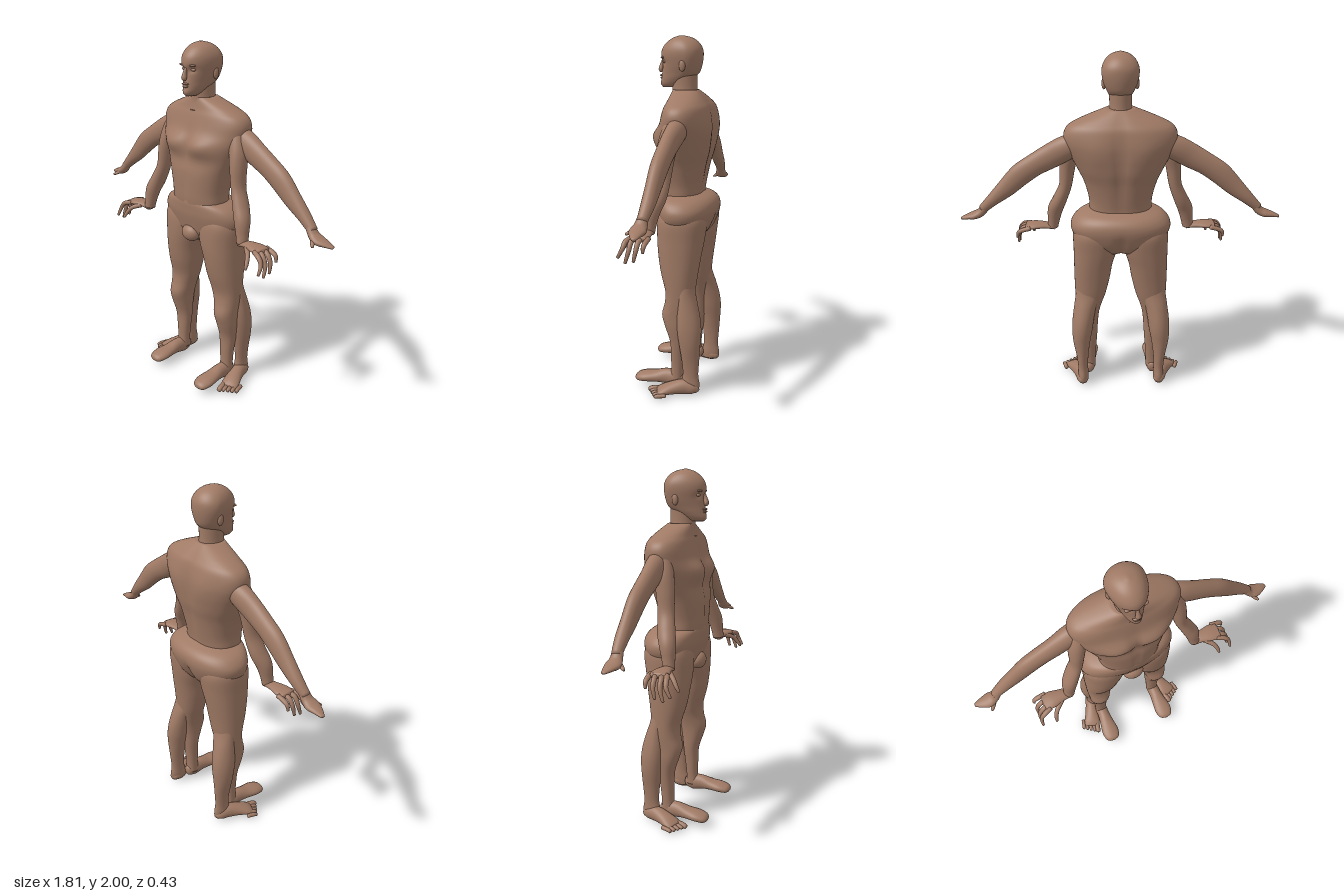
import * as THREE from 'three';

const skin = new THREE.MeshStandardMaterial({ color: 0xa07a65 });
skin.name = 'skin';
const V = (x, y, z) => new THREE.Vector3(x, y, z);
const SEG = 32;

// Catmull-Rom resampling of rows of numbers
function resample(rows, steps = 5) {
  const out = [], n = rows.length;
  for (let i = 0; i < n - 1; i++) {
    const p = [rows[Math.max(i - 1, 0)], rows[i], rows[i + 1], rows[Math.min(i + 2, n - 1)]];
    for (let k = 0; k < steps; k++) {
      const t = k / steps;
      out.push(rows[i].map((_, c) => {
        const [a, b, d, e] = p.map((r) => r[c]);
        return 0.5 * (2 * b + (d - a) * t + (2 * a - 5 * b + 4 * d - e) * t * t + (3 * b - a - 3 * d + e) * t * t * t);
      }));
    }
  }
  out.push(rows[n - 1]);
  return out;
}

// Closed surface through rings of points, with a point at each end
function loft(rings, first, last) {
  const pos = [], idx = [], m = rings[0].length, n = rings.length;
  rings.forEach((r) => r.forEach((p) => pos.push(p.x, p.y, p.z)));
  pos.push(first.x, first.y, first.z, last.x, last.y, last.z);
  for (let j = 0; j < m; j++) {
    const k = (j + 1) % m, top = (n - 1) * m;
    for (let i = 0; i < n - 1; i++) {
      const a = i * m + j, b = i * m + k;
      idx.push(a, b, b + m, a, b + m, a + m);
    }
    idx.push(n * m, k, j, n * m + 1, top + j, top + k);
  }
  const g = new THREE.BufferGeometry();
  g.setAttribute('position', new THREE.Float32BufferAttribute(pos, 3));
  g.setIndex(idx);
  g.computeVertexNormals();
  return g;
}

// Upright form from rows [y, xMin, xMax, zFront, zBack, zWidest], bottom to top
function body(rows, exponent = 2, shape = () => {}) {
  const pw = (v) => Math.sign(v) * Math.abs(v) ** (2 / exponent);
  const all = resample(rows);
  const rings = all.map(([y, x0, x1, zf, zb, zm]) => Array.from({ length: SEG * 2 }, (_, j) => {
    const a = (j / (SEG * 2)) * Math.PI * 2, c = pw(Math.cos(a)), s = pw(Math.sin(a));
    const p = V((x0 + x1) / 2 + s * (x1 - x0) / 2, y, zm + c * (c > 0 ? zf - zm : zm - zb));
    shape(p, Math.cos(a));
    return p;
  }));
  const mid = (r) => V((r[1] + r[2]) / 2, r[0], r[5]);
  return loft(rings, mid(all[0]), mid(all[all.length - 1]));
}

// Limb along rows [x, y, z, a, b]; b is the radius along ref, a the one across it
function limb(rows, ref = V(0, 0, 1), seg = SEG) {
  const all = resample(rows), pts = all.map((r) => V(r[0], r[1], r[2])), n = pts.length;
  const dir = (i) => pts[Math.min(i + 1, n - 1)].clone().sub(pts[Math.max(i - 1, 0)]).normalize();
  const rings = all.map((r, i) => {
    const t = dir(i), v = ref.clone().addScaledVector(t, -ref.dot(t)).normalize(), u = v.clone().cross(t);
    return Array.from({ length: seg }, (_, j) => {
      const a = (j / seg) * Math.PI * 2;
      return pts[i].clone().addScaledVector(u, Math.cos(a) * r[3]).addScaledVector(v, Math.sin(a) * r[4]);
    });
  });
  const end = (i, s) => pts[i].clone().addScaledVector(dir(i), s * 0.5 * Math.min(all[i][3], all[i][4]));
  return loft(rings, end(0, -1), end(n - 1, 1));
}

const blob = (x, y, z, rx, ry, rz) => new THREE.SphereGeometry(1, 24, 16).scale(rx, ry, rz).translate(x, y, z);

function mirrored(g) {
  const m = g.clone().scale(-1, 1, 1), a = m.index.array;
  for (let i = 0; i < a.length; i += 3) [a[i], a[i + 1]] = [a[i + 1], a[i]];
  m.computeVertexNormals();
  return m;
}

const bump = (dx, dy, rx, ry) => Math.exp(-((dx / rx) ** 2) - (dy / ry) ** 2);

export function createModel() {
  const model = new THREE.Group();
  const add = (name, g) => {
    const mesh = new THREE.Mesh(g, skin);
    mesh.name = name;
    model.add(mesh);
  };
  const pair = (name, g) => { add(name + 'Left', g); add(name + 'Right', mirrored(g)); };
  const sym = (rows) => rows.map(([y, w, zf, zb, zm]) => [y, -w, w, zf, zb, zm]);

  // Torso with chest muscles, belly line, shoulder blades and spine
  add('torso', body(sym([
    [1.04, 0.17, 0.1, -0.13, 0], [1.13, 0.177, 0.115, -0.13, 0], [1.2, 0.18, 0.12, -0.14, 0],
    [1.3, 0.205, 0.122, -0.16, -0.01], [1.37, 0.235, 0.112, -0.178, -0.02], [1.43, 0.262, 0.112, -0.185, -0.03],
    [1.48, 0.285, 0.105, -0.188, -0.04], [1.53, 0.302, 0.09, -0.188, -0.05], [1.58, 0.306, 0.077, -0.182, -0.05],
    [1.62, 0.285, 0.066, -0.172, -0.05], [1.65, 0.235, 0.056, -0.152, -0.05], [1.68, 0.16, 0.05, -0.128, -0.04],
    [1.71, 0.075, 0.045, -0.1, -0.03]]), 2.3, (p, c) => {
    const x = Math.abs(p.x);
    if (c > 0) {
      p.z += c * (0.032 * bump(x - 0.11, p.y - 1.46, 0.1, 0.055) - 0.012 * bump(x, p.y - 1.46, 0.02, 0.09));
      p.z -= c * 0.008 * bump(x, p.y - 1.25, 0.015, 0.13);
    } else p.z += c * (0.012 * bump(x - 0.13, p.y - 1.5, 0.08, 0.1) - 0.016 * bump(x, p.y - 1.4, 0.03, 0.22));
  }));

  // Wide pelvis
  add('pelvis', body(sym([
    [0.89, 0.12, 0.05, -0.14, -0.04], [0.94, 0.22, 0.08, -0.18, -0.04], [1.0, 0.272, 0.097, -0.205, -0.04],
    [1.05, 0.284, 0.108, -0.215, -0.04], [1.09, 0.266, 0.112, -0.208, -0.03], [1.12, 0.23, 0.114, -0.18, -0.02],
    [1.14, 0.175, 0.112, -0.13, 0]]), 2.2, (p, c) => {
    if (c < 0) p.z -= c * 0.03 * bump(p.x, p.y - 0.93, 0.025, 0.07);
  }));
  add('groin', blob(0, 0.935, 0.075, 0.062, 0.05, 0.045));

  // Neck and head
  add('neck', body(sym([
    [1.64, 0.1, 0.06, -0.12, -0.02], [1.68, 0.07, 0.052, -0.1, -0.02], [1.72, 0.06, 0.05, -0.09, -0.02],
    [1.82, 0.062, 0.05, -0.09, -0.02]])));
  add('head', body(sym([
    [1.722, 0.022, 0.105, 0.02, 0.06], [1.74, 0.042, 0.119, -0.01, 0.04], [1.77, 0.06, 0.114, -0.06, 0.01],
    [1.8, 0.073, 0.11, -0.1, -0.02], [1.84, 0.088, 0.106, -0.115, -0.035], [1.89, 0.099, 0.114, -0.122, -0.04],
    [1.93, 0.096, 0.107, -0.118, -0.035], [1.965, 0.077, 0.08, -0.096, -0.02], [1.988, 0.047, 0.045, -0.06, -0.01],
    [2.0, 0.008, 0.008, -0.012, 0]]), 2, (p, c) => {
    if (c > 0) p.z -= 0.014 * bump(Math.abs(p.x) - 0.036, p.y - 1.862, 0.02, 0.016);
  }));
  add('nose', limb([[0, 1.875, 0.102, 0.008, 0.009], [0, 1.845, 0.112, 0.012, 0.01],
    [0, 1.82, 0.118, 0.014, 0.016], [0, 1.81, 0.112, 0.01, 0.012]], V(1, 0, 0), 16));
  add('upperLip', blob(0, 1.787, 0.11, 0.025, 0.006, 0.013));
  add('lowerLip', blob(0, 1.774, 0.11, 0.02, 0.007, 0.012));
  pair('eye', blob(0.036, 1.862, 0.084, 0.015, 0.009, 0.011));
  pair('brow', blob(0.036, 1.884, 0.094, 0.026, 0.007, 0.012));
  pair('ear', blob(0.088, 1.84, -0.03, 0.012, 0.032, 0.018));

  // Outstretched upper arms with flat hands
  pair('spreadArm', limb([
    [0.22, 1.53, -0.06, 0.06, 0.055], [0.3, 1.495, -0.055, 0.068, 0.054], [0.38, 1.45, -0.05, 0.068, 0.048],
    [0.47, 1.4, -0.05, 0.062, 0.045], [0.55, 1.345, -0.05, 0.062, 0.043], [0.63, 1.27, -0.05, 0.052, 0.038],
    [0.71, 1.2, -0.05, 0.036, 0.034], [0.775, 1.14, -0.045, 0.025, 0.026]]));
  pair('spreadHand', limb([
    [0.755, 1.16, -0.045, 0.024, 0.026], [0.785, 1.12, -0.042, 0.024, 0.034], [0.82, 1.102, -0.04, 0.022, 0.042],
    [0.86, 1.094, -0.044, 0.015, 0.03], [0.9, 1.084, -0.05, 0.007, 0.012]]));
  pair('spreadThumb', limb([[0.79, 1.115, -0.03, 0.012, 0.016], [0.81, 1.095, 0, 0.01, 0.012],
    [0.825, 1.085, 0.018, 0.006, 0.007]], V(1, 0, 0), 16));

  // Hanging lower arms
  pair('hangingArm', limb([
    [0.25, 1.53, -0.03, 0.05, 0.05], [0.28, 1.45, -0.015, 0.05, 0.055], [0.295, 1.37, 0, 0.043, 0.052],
    [0.31, 1.26, 0.01, 0.036, 0.046], [0.345, 1.17, 0.025, 0.04, 0.05], [0.375, 1.1, 0.045, 0.043, 0.045],
    [0.388, 1.03, 0.055, 0.035, 0.036], [0.395, 0.985, 0.06, 0.031, 0.034]]));
  pair('hangingPalm', limb([
    [0.385, 0.982, 0.06, 0.016, 0.032], [0.44, 0.99, 0.06, 0.017, 0.036], [0.5, 0.99, 0.062, 0.019, 0.05],
    [0.55, 0.985, 0.064, 0.016, 0.05]]));
  [[0.015, 0.02, 0.93], [0.047, 0.07, 0.88], [0.08, 0.115, 0.87], [0.105, 0.155, 0.895]].forEach(([z0, z1, y], i) =>
    pair('hangingFinger' + (i + 1), limb([
      [0.525, 0.987, z0, 0.013, 0.014], [0.57, 0.975, (z0 * 2 + z1) / 3, 0.013, 0.014],
      [0.595, (0.965 + y) / 2 + 0.012, (z0 + z1) / 2, 0.011, 0.012], [0.6, y, z1, 0.007, 0.008]], V(0, 0, 1), 14)));
  pair('hangingThumb', limb([[0.45, 0.985, 0.085, 0.014, 0.016], [0.495, 0.965, 0.125, 0.013, 0.013],
    [0.515, 0.93, 0.152, 0.011, 0.011], [0.52, 0.905, 0.168, 0.007, 0.007]], V(1, 0, 0), 14));

  // Front legs with the full thighs
  pair('frontLeg', body([
    [0.06, 0.158, 0.235, 0.01, -0.07, -0.03], [0.12, 0.157, 0.234, 0, -0.07, -0.035],
    [0.2, 0.152, 0.238, 0, -0.078, -0.035], [0.3, 0.144, 0.25, 0.004, -0.09, -0.04],
    [0.39, 0.138, 0.262, 0.032, -0.1, -0.03], [0.46, 0.13, 0.264, 0.051, -0.11, -0.03],
    [0.53, 0.112, 0.268, 0.036, -0.12, -0.04], [0.6, 0.088, 0.27, 0.034, -0.132, -0.04],
    [0.7, 0.064, 0.272, 0.062, -0.145, -0.04], [0.8, 0.046, 0.272, 0.08, -0.16, -0.04],
    [0.9, 0.016, 0.272, 0.09, -0.175, -0.04], [1.0, 0.01, 0.272, 0.09, -0.185, -0.04],
    [1.06, 0.05, 0.25, 0.07, -0.16, -0.04]], 2.2));
  pair('frontFoot', limb([
    [0.197, 0.06, -0.075, 0.03, 0.025], [0.197, 0.066, -0.03, 0.05, 0.038], [0.198, 0.072, 0.03, 0.045, 0.04],
    [0.2, 0.066, 0.09, 0.034, 0.048], [0.202, 0.06, 0.15, 0.03, 0.056], [0.203, 0.052, 0.195, 0.024, 0.046],
    [0.203, 0.05, 0.212, 0.013, 0.028]], V(1, 0, 0)));

  // Rear lower legs, branching behind the knees
  pair('rearLeg', body([
    [0.02, 0.203, 0.262, -0.07, -0.172, -0.12], [0.06, 0.2, 0.264, -0.07, -0.178, -0.12],
    [0.12, 0.202, 0.262, -0.08, -0.17, -0.125], [0.2, 0.198, 0.27, -0.075, -0.175, -0.12],
    [0.3, 0.185, 0.287, -0.06, -0.181, -0.12], [0.38, 0.17, 0.292, -0.048, -0.185, -0.11],
    [0.45, 0.16, 0.288, -0.042, -0.178, -0.1], [0.53, 0.145, 0.277, -0.04, -0.158, -0.09],
    [0.61, 0.12, 0.265, -0.03, -0.135, -0.08], [0.7, 0.12, 0.25, -0.02, -0.12, -0.07]]));
  const across = V(0.93, 0, -0.37);
  pair('rearFoot', limb([
    [0.231, 0.03, -0.168, 0.02, 0.022], [0.235, 0.04, -0.14, 0.037, 0.036], [0.247, 0.046, -0.09, 0.044, 0.04],
    [0.268, 0.04, -0.03, 0.036, 0.046], [0.288, 0.03, 0.02, 0.026, 0.053], [0.3, 0.02, 0.05, 0.016, 0.05]], across));
  for (let i = 0; i < 5; i++) {
    const x = 0.268 + i * 0.021, z = 0.06 - i * 0.011, r = i ? 0.012 : 0.017, l = 0.05 - i * 0.004;
    pair('rearToe' + (i + 1), limb([[x - 0.008, 0.022, z - 0.025, r, r], [x + 0.004, 0.02, z + l * 0.5, r, r],
      [x + 0.01, 0.014, z + l, r * 0.7, r * 0.8]], across, 14));
  }
  return model;
}
